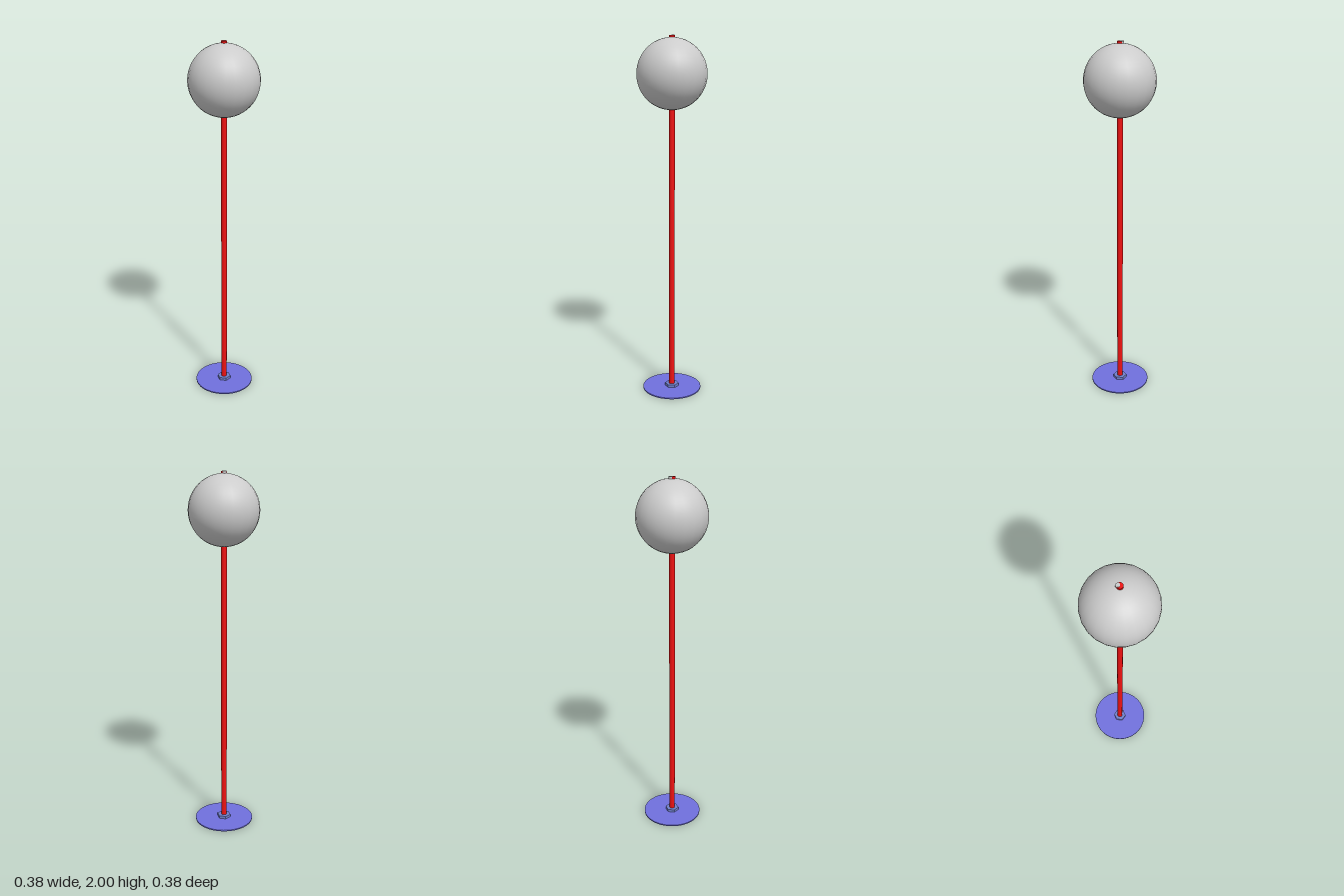
import * as THREE from 'three';

const paint = (color, flatShading = false) => new THREE.MeshStandardMaterial({ color, flatShading });

export function createModel() {
  const model = new THREE.Group();
  const red = paint(0xee1111);
  const blue = paint(0x7070dd);
  const nutBlue = paint(0x7080cc, true);
  const grey = paint(0xcccccc);

  const add = (name, geometry, material, x, y, z) => {
    const mesh = new THREE.Mesh(geometry, material);
    mesh.name = name;
    mesh.position.set(x, y, z);
    model.add(mesh);
    return mesh;
  };

  // Upright cylinder from y0 to y1
  const rod = (name, radius, y0, y1, sides, material, x = 0, z = 0) =>
    add(name, new THREE.CylinderGeometry(radius, radius, y1 - y0, sides), material, x, (y0 + y1) / 2, z);

  // Thin round foot with a hexagonal nut holding the post
  rod('baseDisc', 0.167, 0.001, 0.008, 48, blue);
  const nut = rod('baseNut', 0.039, 0.008, 0.024, 6, nutBlue);
  nut.rotation.y = Math.PI / 6;

  // Post runs through the ball and shows at both ends
  rod('post', 0.016, 0, 1.999, 24, red);

  // Ball near the top
  add('ball', new THREE.SphereGeometry(0.191, 24, 24), grey, 0, 1.798, 0);

  // Small off-centre pin at the tip of the post
  rod('tipPin', 0.011, 1.96, 2, 16, grey, -0.004, -0.009);

  return model;
}
